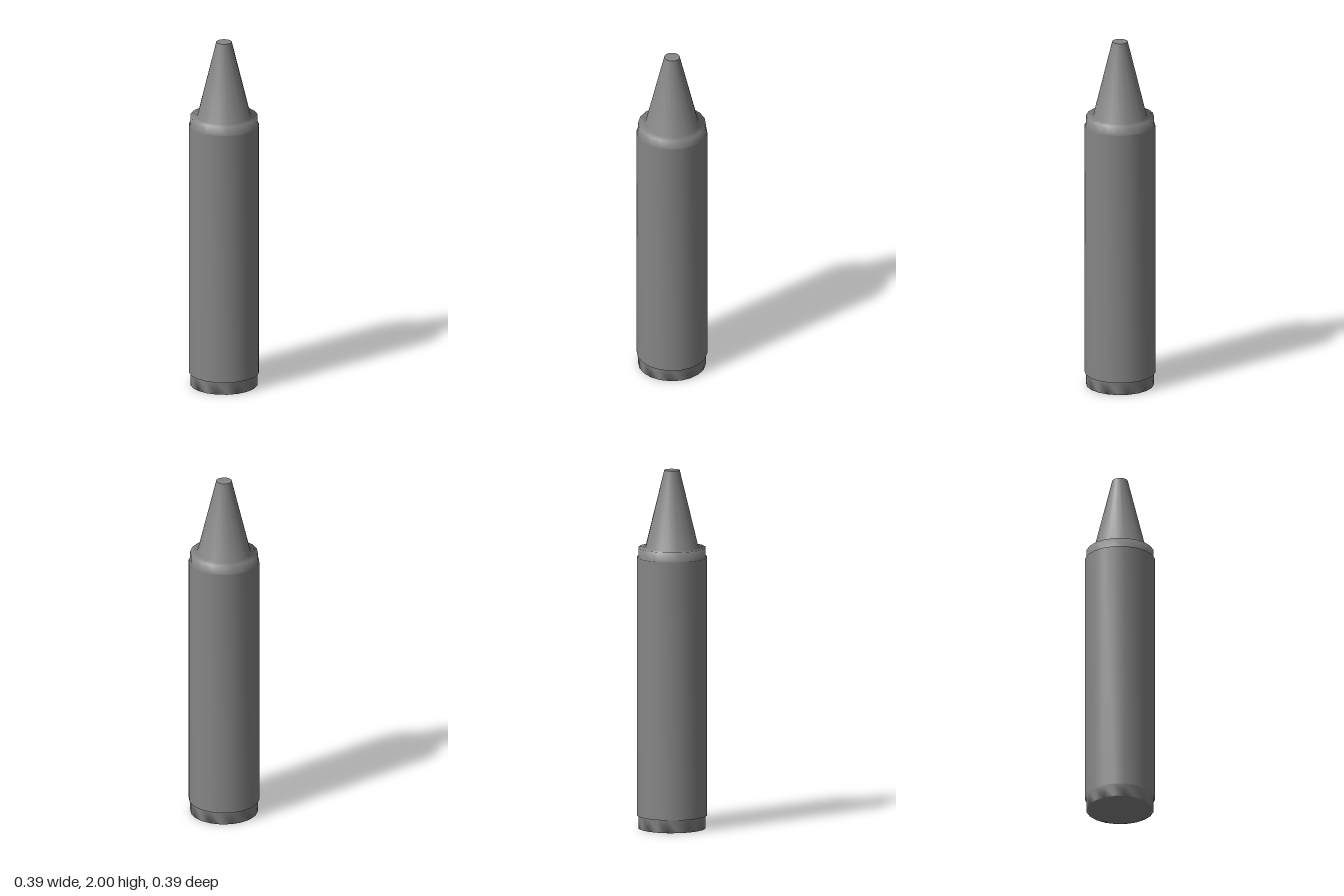
import * as THREE from 'three';
import { mergeGeometries, mergeVertices } from 'three/addons/utils/BufferGeometryUtils.js';

const SIDES = 20;
const WAX = 0.187; // radius of the bare wax
const WRAP = 0.195; // radius over the paper wrapper

// Joins pieces into one welded skin, shaded smoothly by face area
function weld(pieces) {
  for (const piece of pieces) {
    piece.deleteAttribute('normal');
    piece.deleteAttribute('uv');
  }
  const skin = mergeVertices(mergeGeometries(pieces));
  skin.computeVertexNormals();
  return skin;
}

export function createModel() {
  const group = new THREE.Group();
  group.name = 'crayon';
  const material = new THREE.MeshStandardMaterial({ color: 0x868686 });

  const add = (name, geometry) => {
    const mesh = new THREE.Mesh(geometry, material);
    mesh.name = name;
    group.add(mesh);
  };

  // Wall from the bottom up: base band, wrapper step, wrapper, shoulder, taper
  const profile = [
    [WAX, 0], [WAX, 0.072], [WRAP, 0.072], [WRAP, 1.515],
    [WAX, 1.515], [WAX, 1.568], [0.148, 1.568], [0.043, 2],
  ].map(([r, y]) => new THREE.Vector2(r, y));
  const wall = new THREE.LatheGeometry(profile, SIDES);

  // Flat base, one polygon facing down
  const rim = Array.from({ length: SIDES }, (_, i) => {
    const a = (i / SIDES) * Math.PI * 2;
    return new THREE.Vector2(WAX * Math.cos(a), WAX * Math.sin(a));
  });
  const base = new THREE.ShapeGeometry(new THREE.Shape(rim)).rotateX(Math.PI / 2);

  add('crayonBody', weld([wall, base]));

  // Flat end of the tip, with a sharp edge
  add('tipEnd', new THREE.CircleGeometry(0.043, SIDES).rotateX(-Math.PI / 2).translate(0, 2, 0));

  return group;
}
